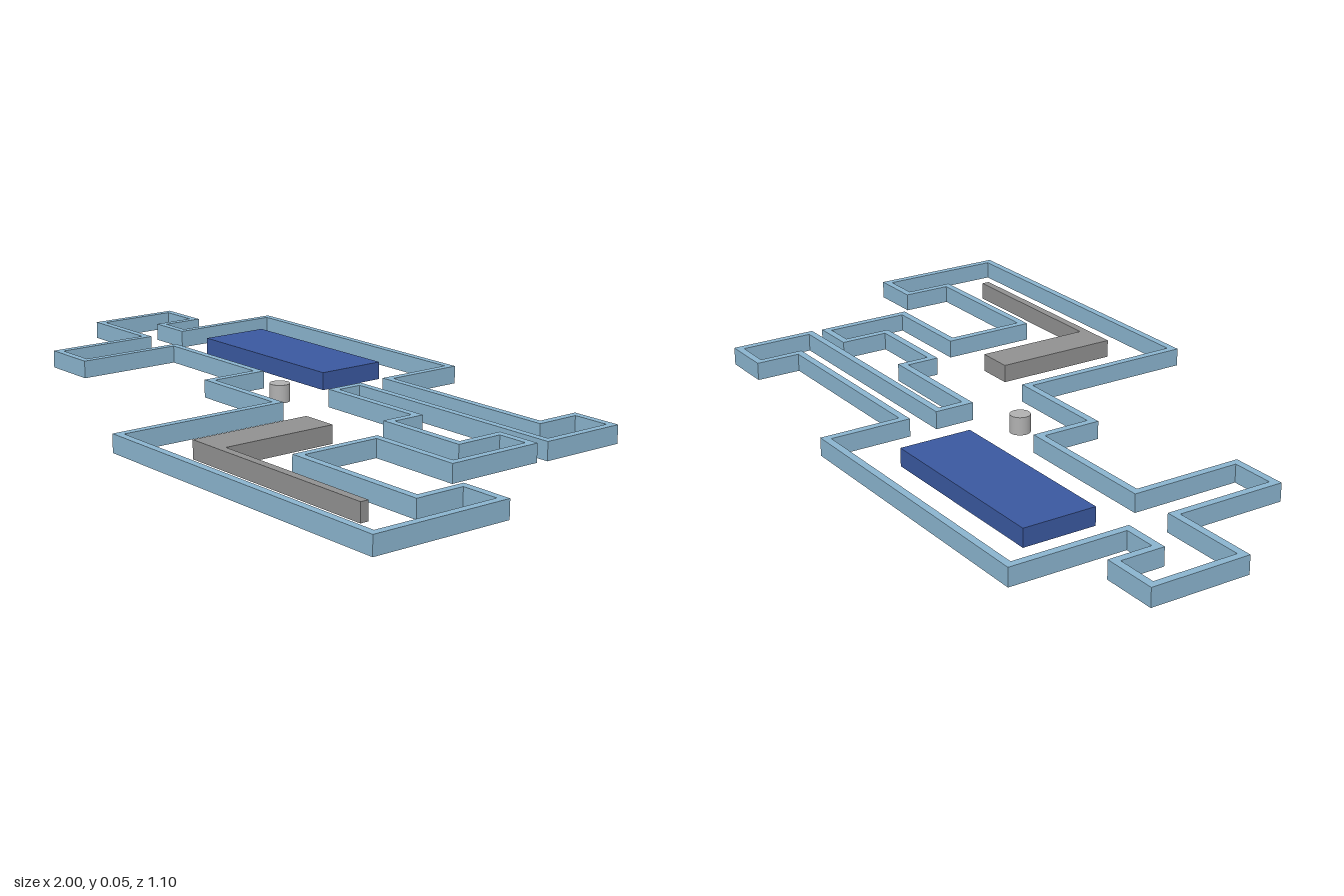
import * as THREE from 'three';

const H = 0.048; // common height of every part
const T = 0.01;  // half the wall thickness

// Offset a closed right-angled outline sideways by d, with mitred corners
function offset(points, d) {
  const n = points.length;
  const normal = (a, b) => new THREE.Vector2(b[1] - a[1], a[0] - b[0]).normalize();
  return points.map((p, i) => {
    const m = normal(points[(i + n - 1) % n], p).add(normal(p, points[(i + 1) % n]));
    return new THREE.Vector2(p[0] + m.x * d, p[1] + m.y * d);
  });
}

// Extrude a plan drawn in (x, z) from the ground up to H
function raise(shape) {
  return new THREE.ExtrudeGeometry(shape, { depth: H, bevelEnabled: false })
    .rotateX(Math.PI / 2).translate(0, H, 0);
}

export function createModel() {
  const model = new THREE.Group();
  const add = (name, geometry, color) => {
    const mesh = new THREE.Mesh(geometry, new THREE.MeshStandardMaterial({ color }));
    mesh.name = name;
    model.add(mesh);
    return mesh;
  };

  // Centre line of the perimeter wall as [x, z]
  const plan = [
    [-0.75, -0.54], [0.056, -0.54], [0.056, -0.318], [0.612, -0.318],
    [0.612, -0.44], [0.733, -0.44], [0.733, -0.22], [0.058, -0.22],
    [0.058, -0.131], [0.377, -0.131], [0.377, -0.04], [0.623, -0.04],
    [0.623, -0.172], [0.727, -0.172], [0.727, 0.077], [0.467, 0.077],
    [0.467, 0.313], [0.868, 0.313], [0.868, 0.178], [0.99, 0.178],
    [0.99, 0.54], [0.07, 0.54], [0.07, 0.062], [-0.219, 0.062],
    [-0.219, -0.099], [-0.61, -0.099], [-0.61, 0.198], [-0.75, 0.198],
    [-0.75, -0.099], [-0.99, -0.099], [-0.99, -0.345], [-0.858, -0.345],
    [-0.858, -0.227], [-0.75, -0.227],
  ];
  const ring = new THREE.Shape(offset(plan, T));
  ring.holes.push(new THREE.Path(offset(plan, -T)));
  add('perimeterWall', raise(ring), 0x8ab4ce);

  // Blue rectangular slab
  add('blueSlab', new THREE.BoxGeometry(0.527, H, 0.198), 0x3a589f)
    .position.set(-0.36, H / 2, -0.321);

  // L-shaped block with a long thin arm
  const ell = [[0.219, 0.09], [0.32, 0.09], [0.32, 0.409], [0.823, 0.409], [0.823, 0.431], [0.219, 0.431]];
  add('lShapedBlock', raise(new THREE.Shape(ell.map(([x, z]) => new THREE.Vector2(x, z)))), 0x909090);

  // Small round post
  add('roundPost', new THREE.CylinderGeometry(0.027, 0.027, H, 32), 0xb0b0b0)
    .position.set(-0.08, H / 2, -0.062);

  return model;
}
